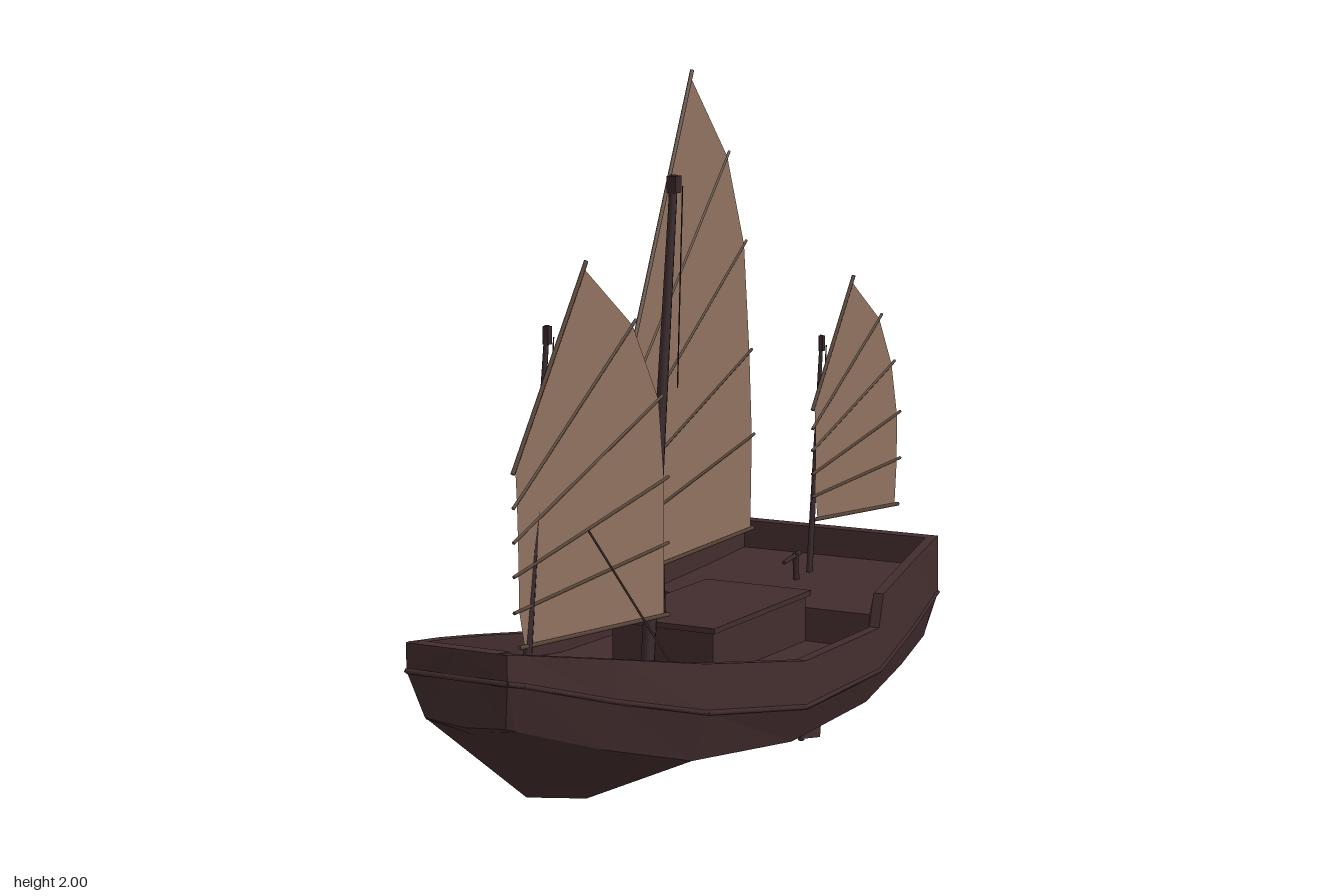
import * as THREE from 'three';

const mat = (name, color, side = THREE.FrontSide) => {
  const m = new THREE.MeshStandardMaterial({ color, side });
  m.name = name;
  return m;
};

// Hull stations, bow to stern:
// [z, deckY, railY, railHalf, waleY, waleHalf, chineY, chineHalf, keelY, rake of the lower points]
const STATIONS = [
  [1.138, 0.665, 0.665, 0.143, 0.595, 0.143, 0.475, 0.115, 0.465, 0.035],
  [1.1, 0.665, 0.66, 0.157, 0.585, 0.157, 0.465, 0.127, 0.445, 0.02],
  [1.095, 0.585, 0.658, 0.159, 0.584, 0.159, 0.464, 0.128, 0.443, 0.02],
  [0.83, 0.52, 0.605, 0.255, 0.5, 0.255, 0.375, 0.215, 0.225, 0],
  [0.54, 0.465, 0.545, 0.35, 0.42, 0.355, 0.29, 0.31, 0.15, 0],
  [0.06, 0.4, 0.46, 0.392, 0.335, 0.395, 0.235, 0.35, 0.13, 0],
  [-0.41, 0.395, 0.455, 0.382, 0.335, 0.387, 0.24, 0.345, 0.112, 0],
  [-0.415, 0.49, 0.455, 0.382, 0.335, 0.387, 0.24, 0.345, 0.112, 0],
  [-0.45, 0.492, 0.545, 0.378, 0.342, 0.383, 0.246, 0.342, 0.11, 0],
  [-0.69, 0.515, 0.588, 0.354, 0.395, 0.359, 0.287, 0.325, 0.1, 0],
  [-0.7, 0.515, 0.59, 0.353, 0.397, 0.358, 0.289, 0.324, 0.235, 0],
  [-0.905, 0.54, 0.622, 0.33, 0.45, 0.333, 0.33, 0.301, 0.32, 0],
  [-0.91, 0.622, 0.623, 0.33, 0.452, 0.333, 0.332, 0.3, 0.322, -0.003],
  [-0.937, 0.626, 0.626, 0.327, 0.457, 0.33, 0.338, 0.297, 0.33, -0.017],
];

function hullGeometry() {
  const rings = STATIONS.map(([z, dy, ry, rw, wy, ww, cy, cw, ky, rake]) => [
    [0, dy, z], [rw - 0.03, dy, z], [rw - 0.03, ry, z], [rw, ry, z],
    [ww, wy, z], [cw, cy, z - rake], [0, ky, z - rake],
  ]);
  const pos = [];
  const tri = (a, b, c) => {
    pos.push(...a, ...b, ...c);
    for (const p of [a, c, b]) pos.push(-p[0], p[1], p[2]);
  };
  for (let i = 0; i < rings.length - 1; i++) {
    for (let j = 0; j < 6; j++) {
      const a = rings[i][j], b = rings[i][j + 1], c = rings[i + 1][j + 1], d = rings[i + 1][j];
      tri(a, b, c);
      tri(a, c, d);
    }
  }
  // bow plate and transom
  const bow = rings[0], stern = rings[rings.length - 1];
  for (let j = 3; j < 6; j++) {
    tri(bow[0], bow[j + 1], bow[j]);
    tri(stern[0], stern[j], stern[j + 1]);
  }
  const g = new THREE.BufferGeometry();
  g.setAttribute('position', new THREE.Float32BufferAttribute(pos, 3));
  g.computeVertexNormals();
  return g;
}

export function createModel() {
  const model = new THREE.Group();
  const wood = mat('hull wood', 0x432d2e);
  const spar = mat('spar wood', 0x38282a);
  const batten = mat('batten wood', 0x5a4538);
  const rope = mat('rope', 0x33261f);
  const cloth = mat('sail cloth', 0x8f7260, THREE.DoubleSide);

  const add = (parent, name, geo, material) => {
    const m = new THREE.Mesh(geo, material);
    m.name = name;
    parent.add(m);
    return m;
  };
  const box = (parent, name, size, at, material) => {
    const m = add(parent, name, new THREE.BoxGeometry(...size), material);
    m.position.set(...at);
    return m;
  };
  // tapered rod between two points
  const rod = (parent, name, from, to, r0, r1, sides, material) => {
    const a = new THREE.Vector3(...from), b = new THREE.Vector3(...to);
    const d = b.clone().sub(a);
    const m = add(parent, name, new THREE.CylinderGeometry(r1, r0, d.length(), sides), material);
    m.position.copy(a).add(b).multiplyScalar(0.5);
    m.quaternion.setFromUnitVectors(new THREE.Vector3(0, 1, 0), d.normalize());
    return m;
  };

  // Ship body, bow along its own +z, turned to lie diagonally
  const ship = new THREE.Group();
  ship.name = 'shipBody';
  ship.rotation.y = -0.794;
  ship.position.set(-0.008, 0, -0.008);
  model.add(ship);
  add(ship, 'hull', hullGeometry(), wood);

  // Wales along both sides and across the ends
  for (const s of [-1, 1]) {
    for (let i = 0; i < STATIONS.length - 1; i++) {
      const p = STATIONS[i], q = STATIONS[i + 1];
      rod(ship, 'wale', [s * p[5], p[4], p[0]], [s * q[5], q[4], q[0]], 0.007, 0.007, 4, wood);
    }
  }
  for (const p of [STATIONS[0], STATIONS[STATIONS.length - 1]]) {
    rod(ship, 'endWale', [-p[5], p[4], p[0]], [p[5], p[4], p[0]], 0.007, 0.007, 4, wood);
  }

  // Cabin amidships with a thin overhanging roof
  box(ship, 'cabin', [0.31, 0.14, 0.55], [0, 0.455, -0.135], wood);
  box(ship, 'cabinRoof', [0.335, 0.015, 0.575], [0, 0.533, -0.132], wood);

  // Rudder blade, stock and tiller
  const blade = new THREE.Shape([[0.7, 0.025], [0.81, 0.005], [0.835, 0.2], [0.8, 0.3], [0.7, 0.3]]
    .map(([x, y]) => new THREE.Vector2(x, y)));
  const rudder = add(ship, 'rudder', new THREE.ExtrudeGeometry(blade, { depth: 0.016, bevelEnabled: false }), wood);
  rudder.rotation.y = Math.PI / 2;
  rudder.position.x = -0.008;
  rod(ship, 'rudderStock', [0, 0.02, -0.7], [0, 0.59, -0.655], 0.009, 0.009, 6, spar);
  rod(ship, 'tiller', [0, 0.588, -0.68], [0, 0.575, -0.58], 0.008, 0.006, 6, spar);

  // Masts: [name, base z, base y, top z, top y, radius]
  const masts = [
    ['foreMast', 0.83, 0.5, 0.715, 1.395, 0.012],
    ['mainMast', 0.225, 0.39, 0.072, 1.73, 0.02],
    ['mizzenMast', -0.745, 0.5, -0.818, 1.215, 0.01],
  ];
  for (const [name, z0, y0, z1, y1, r] of masts) {
    rod(ship, name, [0, y0, z0], [0, y1, z1], r, r * 0.55, 8, spar);
    box(ship, name + 'Block', [r * 1.3, 0.045, r * 1.7], [0, y1 - 0.025, z1], spar);
    for (const s of [-1, 1]) {
      rod(ship, name + 'Halyard', [s * r, y1 - 0.03, z1 - 0.01],
        [s * r, y1 - (y1 - y0) * 0.42, z1 + (z0 - z1) * 0.12], 0.002, 0.002, 4, rope);
    }
  }

  // Battened sails; rows run foot to yard: [fore distance, y, aft distance, y]
  const sails = [
    ['foreSail', [-0.65, 0.614], [-0.106, 0.203], [
      [0.04, 0.61, 0.655, 0.588], [0.02, 0.7, 0.655, 0.78], [0.02, 0.79, 0.655, 0.955],
      [0.02, 0.875, 0.63, 1.172], [0.02, 0.96, 0.517, 1.38], [0.02, 1.045, 0.313, 1.544]]],
    ['mainSail', [-0.22, 0.19], [0.36, -0.535], [
      [0.03, 0.69, 0.9, 0.665], [0.013, 0.822, 0.91, 0.94], [0.013, 0.94, 0.887, 1.19],
      [0.013, 1.06, 0.84, 1.507], [0.013, 1.183, 0.704, 1.767], [0.02, 1.305, 0.425, 1.998]]],
    ['mizzenSail', [0.51, -0.515], [0.916, -0.812], [
      [0.035, 0.674, 0.49, 0.658], [0.025, 0.743, 0.5, 0.8], [0.025, 0.81, 0.497, 0.944],
      [0.025, 0.88, 0.463, 1.103], [0.025, 0.944, 0.39, 1.252], [0.025, 1.0, 0.235, 1.379]]],
  ];
  for (const [name, from, to, rows] of sails) {
    const sail = new THREE.Group();
    sail.name = name;
    sail.position.set(from[0], 0, from[1]);
    sail.rotation.y = Math.atan2(from[1] - to[1], to[0] - from[0]);
    model.add(sail);
    const pos = [], idx = [];
    rows.forEach(([x0, y0, x1, y1], i) => {
      const edge = i === 0 || i === rows.length - 1;
      const r = edge ? 0.006 : 0.0045;
      rod(sail, edge ? 'sailSpar' : 'batten', [x0, y0, 0], [x1, y1, 0], r, r, 6, batten);
      const t = 0.02 / Math.hypot(x1 - x0, y1 - y0);
      for (const k of [t, 1 - t]) pos.push(x0 + (x1 - x0) * k, y0 + (y1 - y0) * k, 0);
      if (i) {
        const a = 2 * i - 2;
        idx.push(a, a + 1, a + 3, a, a + 3, a + 2);
      }
    });
    const g = new THREE.BufferGeometry();
    g.setAttribute('position', new THREE.Float32BufferAttribute(pos, 3));
    g.setIndex(idx);
    g.computeVertexNormals();
    add(sail, 'sailCloth', g, cloth);
  }

  // Slanted pole at the side and the main sheet
  rod(model, 'sidePole', [-0.225, 0.53, 0.62], [-0.45, 0.9, 0.625], 0.003, 0.003, 5, rope);
  rod(model, 'mainSheet', [-0.1, 1.0, 0.05], [-0.07, 0.54, -0.01], 0.002, 0.002, 4, rope);
  return model;
}
